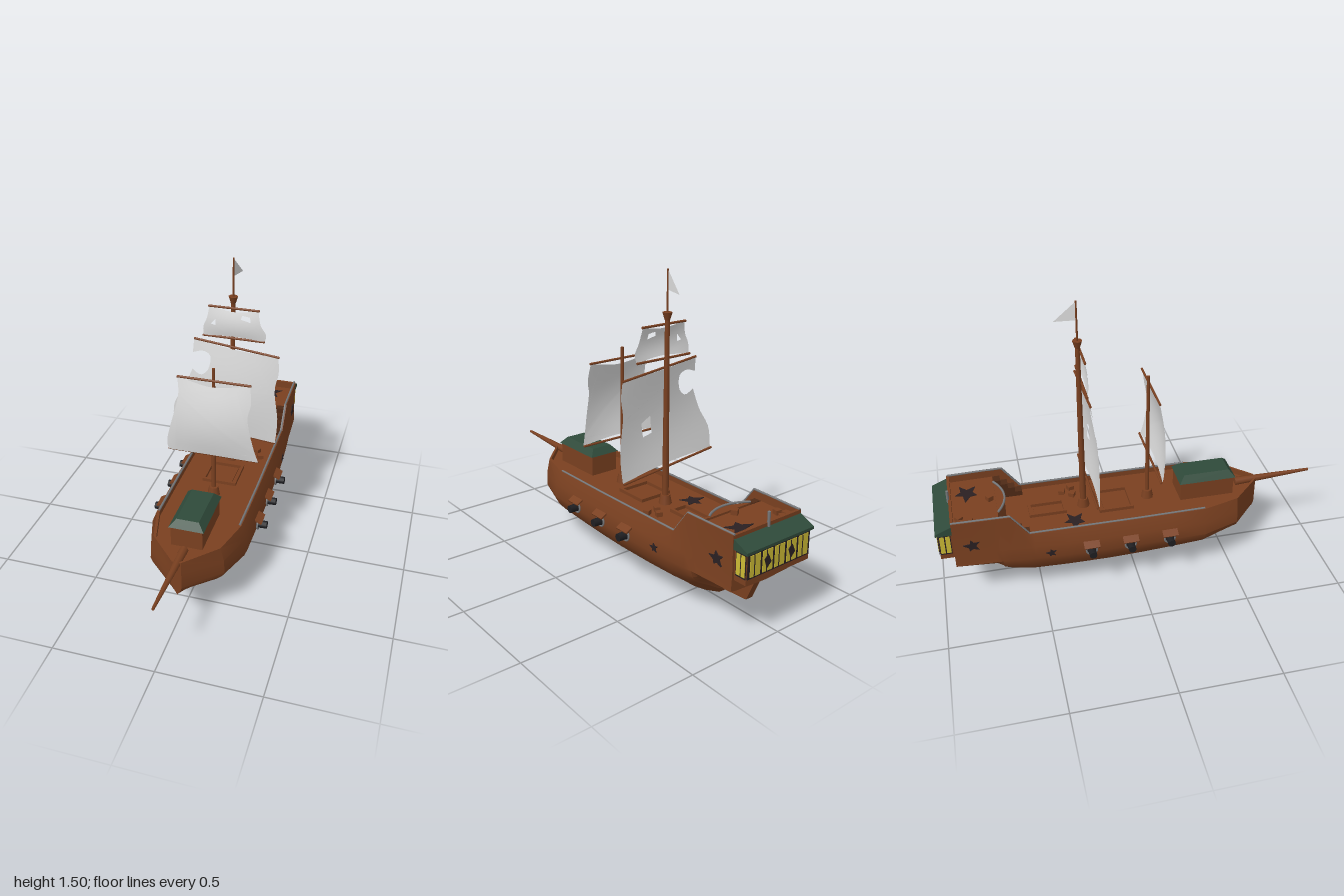
import * as THREE from 'three';
import { mergeVertices, toCreasedNormals } from 'three/addons/utils/BufferGeometryUtils.js';

const mat = (name, color, side = THREE.FrontSide) => {
  const m = new THREE.MeshStandardMaterial({ color, side });
  m.name = name;
  return m;
};
const V = (x, y, z) => new THREE.Vector3(x, y, z);

export function createModel() {
  const wood = mat('wood', 0x7a4020), darkWood = mat('dark wood', 0x4f2a16);
  const green = mat('roof green', 0x2f4a3a), cloth = mat('sailcloth', 0xdcdcdc, THREE.DoubleSide);
  const grey = mat('grey trim', 0x77787a), iron = mat('iron', 0x1e1e21);
  const charred = mat('charred', 0x2a2022), glass = mat('window yellow', 0xcdbb35);

  const root = new THREE.Group(), ship = new THREE.Group(), rigging = new THREE.Group();
  root.name = 'sailingShip'; ship.name = 'ship'; rigging.name = 'rigging';
  ship.position.x = 0.008;
  root.add(ship, rigging);

  const add = (name, geo, m, x = 0, y = 0, z = 0, parent = ship) => {
    const mesh = new THREE.Mesh(geo, m);
    mesh.name = name;
    mesh.position.set(x, y, z);
    parent.add(mesh);
    return mesh;
  };
  const box = (name, m, w, h, d, x, y, z) => add(name, new THREE.BoxGeometry(w, h, d), m, x, y, z);
  // Round pole between two points
  const rod = (name, m, a, b, r1, r2 = r1, parent = ship, sides = 8) => {
    const d = b.clone().sub(a);
    const mesh = add(name, new THREE.CylinderGeometry(r2, r1, d.length(), sides), m, 0, 0, 0, parent);
    mesh.position.copy(a).addScaledVector(d, 0.5);
    mesh.quaternion.setFromUnitVectors(V(0, 1, 0), d.normalize());
    return mesh;
  };

  // Hull: stations from bow to stern [z, keelY, half width, top half width, topY, deckY]
  const stations = [
    [0.69, 0.195, 0.022, 0.022, 0.39, 0.36], [0.54, 0.135, 0.185, 0.165, 0.39, 0.36],
    [0.35, 0.065, 0.247, 0.215, 0.39, 0.36], [0.18, 0.04, 0.249, 0.217, 0.39, 0.36],
    [0, 0.02, 0.25, 0.218, 0.39, 0.36], [-0.15, 0.01, 0.25, 0.218, 0.39, 0.36],
    [-0.36, 0.01, 0.247, 0.217, 0.39, 0.36], [-0.53, 0.01, 0.237, 0.215, 0.39, 0.36],
    [-0.55, 0.015, 0.236, 0.215, 0.39, 0.36], [-0.64, 0.045, 0.229, 0.215, 0.51, 0.36],
    [-0.685, 0.08, 0.225, 0.214, 0.51, 0.36], [-0.69, 0.1, 0.224, 0.214, 0.51, 0.47],
    [-0.72, 0.17, 0.222, 0.213, 0.51, 0.47], [-0.92, 0.235, 0.211, 0.209, 0.51, 0.47]];
  const ribs = [[0, 0], [0.26, 0.167], [0.52, 0.375], [0.8, 0.58], [0.94, 0.79], [1, 1]];
  const pos = [], idx = [];
  stations.forEach(([z, keel, half, top, topY, deckY]) => {
    const inner = Math.max(top - 0.014, 0.004);
    const side = ribs.map(([fx, fy]) => [fx * half, keel + fy * (0.25 - keel)]);
    side.push([half * 0.98, 0.32], [top, topY], [inner, topY], [inner, deckY], [0, deckY]);
    const mirror = side.slice(1, -1).reverse().map(([x, y]) => [-x, y]);
    [...side, ...mirror].forEach(([x, y]) => pos.push(x, y, z));
  });
  const n = pos.length / 3 / stations.length, last = (stations.length - 1) * n;
  for (let i = 0; i < stations.length - 1; i++)
    for (let j = 0; j < n; j++) {
      const a = i * n + j, b = i * n + (j + 1) % n;
      idx.push(a, a + n, b, b, a + n, b + n);
    }
  for (let j = 1; j < n - 1; j++) idx.push(0, j, j + 1, last, last + j + 1, last + j);
  const hull = new THREE.BufferGeometry();
  hull.setAttribute('position', new THREE.Float32BufferAttribute(pos, 3));
  hull.setIndex(idx);
  add('hull', toCreasedNormals(hull, 0.45), wood);

  // Rudder and bowsprit
  const polygon = pts => new THREE.Shape(pts.map(p => new THREE.Vector2(...p)));
  const rudder = new THREE.ExtrudeGeometry(
    polygon([[0.62, 0.085], [0.83, 0.1], [0.89, 0.24], [0.66, 0.22]]), { depth: 0.04, bevelEnabled: false });
  add('rudder', rudder.rotateY(Math.PI / 2), wood, -0.02);
  rod('bowsprit', wood, V(0, 0.375, 0.58), V(0, 0.388, 1), 0.022, 0.007);

  // Charred holes: jagged star plates
  const star = size => {
    const radii = [1, 0.45, 0.85, 0.4, 1.1, 0.5, 0.8, 0.45, 1, 0.4];
    return new THREE.ExtrudeGeometry(polygon(radii.map((r, i) =>
      [Math.cos(i * 0.628 + 0.5) * r * size, Math.sin(i * 0.628 + 0.5) * r * size])),
    { depth: 0.008, bevelEnabled: false });
  };
  for (const s of [1, -1]) {
    for (const [size, x, y, z] of [[0.042, 0.208, 0.37, -0.83], [0.027, 0.236, 0.275, -0.45]])
      add('hullDamage', star(size).rotateY(s * Math.PI / 2), charred, s * x, y, z);

    // Bulwark caps
    const line = [[0.215, 0.39, 0.35], [0.218, 0.39, 0], [0.215, 0.39, -0.55], [0.215, 0.51, -0.64], [0.209, 0.51, -0.92]];
    for (let i = 0; i < line.length - 1; i++) {
      const [a, b] = [line[i], line[i + 1]].map(([x, y, z]) => V(s * (x - 0.009), y + 0.001, z));
      rod('bulwarkCap', grey, a, b, 0.006, 0.006, ship, 6);
    }
    // Stairs to the raised deck
    for (let i = 0; i < 4; i++)
      box('stair', darkWood, 0.045, 0.028 * (i + 1), 0.036, s * 0.175, 0.36 + 0.014 * (i + 1), -0.562 - i * 0.036);

    // Guns with port rings and lids
    for (const z of [0.155, -0.05, -0.25]) {
      rod('gunPort', charred, V(s * 0.235, 0.265, z), V(s * 0.253, 0.265, z), 0.027, 0.027, ship, 16);
      const ring = add('portRing', new THREE.TorusGeometry(0.027, 0.005, 6, 20), grey, s * 0.253, 0.265, z);
      ring.rotation.y = Math.PI / 2;
      rod('gunBarrel', iron, V(s * 0.235, 0.265, z), V(s * 0.298, 0.265, z), 0.021, 0.019, ship, 12);
      box('portLid', wood, 0.05, 0.008, 0.08, s * 0.255, 0.306, z).rotation.z = -s * 0.5;
    }
  }
  add('deckDamage', star(0.07).rotateX(-Math.PI / 2), charred, 0.08, 0.465, -0.83);
  add('deckDamage', star(0.065).rotateX(-Math.PI / 2), charred, -0.12, 0.355, -0.31);

  // Raised deck with a curved front, its rail and the stern board
  const curve = new THREE.QuadraticBezierCurve(
    new THREE.Vector2(-0.13, -0.69), new THREE.Vector2(0, -0.6), new THREE.Vector2(0.13, -0.69));
  const front = new THREE.ExtrudeGeometry(new THREE.Shape(curve.getPoints(12)), { depth: 0.12, bevelEnabled: false });
  add('raisedDeckFront', front.rotateX(Math.PI / 2), wood, 0, 0.48, 0);
  const railPath = new THREE.CatmullRomCurve3(curve.getPoints(8).map(p => V(p.x, 0.487, p.y)));
  add('raisedDeckRail', new THREE.TubeGeometry(railPath, 20, 0.006, 6), grey);
  box('sternBoard', wood, 0.4, 0.045, 0.014, 0, 0.487, -0.915);
  rod('sternPost', grey, V(0, 0.47, -0.922), V(0, 0.56, -0.922), 0.007);

  // Stern gallery with windows and a sloping roof
  box('gallery', wood, 0.39, 0.15, 0.075, 0, 0.375, -0.95);
  const roof = new THREE.ExtrudeGeometry(
    polygon([[0.915, 0.445], [1, 0.445], [1, 0.458], [0.915, 0.495]]), { depth: 0.41, bevelEnabled: false });
  add('galleryRoof', roof.rotateY(Math.PI / 2), green, -0.205);
  box('windowFrame', charred, 0.38, 0.115, 0.005, 0, 0.385, -0.989);
  for (let i = -2; i <= 2; i++) {
    box('sternWindow', glass, 0.06, 0.1, 0.004, i * 0.074, 0.385, -0.992);
    box('windowBar', charred, 0.004, 0.1, 0.004, i * 0.074 + 0.006, 0.385, -0.994);
    if (i % 2) {
      const shard = new THREE.ExtrudeGeometry(polygon([[-0.02, -0.01], [0.005, -0.035], [0.022, 0.01], [0, 0.03]]),
        { depth: 0.003, bevelEnabled: false });
      add('brokenPane', shard, charred, i * 0.074, 0.385, -0.997);
    }
  }
  for (const s of [1, -1]) {
    box('sideFrame', charred, 0.005, 0.115, 0.058, s * 0.195, 0.385, -0.957);
    for (const z of [-0.943, -0.971]) box('sideWindow', glass, 0.004, 0.1, 0.022, s * 0.197, 0.385, z);
  }

  // Fore cabin with a bevelled roof
  box('foreCabin', wood, 0.155, 0.12, 0.285, 0, 0.41, 0.4);
  const capRoof = new THREE.CylinderGeometry(Math.SQRT1_2, Math.SQRT1_2, 1, 4).rotateY(Math.PI / 4).toNonIndexed();
  const cp = capRoof.attributes.position;
  for (let i = 0; i < cp.count; i++) {
    const up = cp.getY(i) > 0;
    cp.setXYZ(i, cp.getX(i) * (up ? 0.11 : 0.172), up ? 0.5 : 0.465, cp.getZ(i) * (up ? 0.24 : 0.3));
  }
  capRoof.computeVertexNormals();
  add('foreCabinRoof', capRoof, green, 0, 0, 0.4);

  // Framed hatches
  for (const [w, d, z] of [[0.1, 0.19, -0.435], [0.18, 0.18, -0.085]]) {
    for (const s of [1, -1]) {
      box('hatchFrame', wood, 0.014, 0.02, d, s * (w / 2 - 0.007), 0.367, z);
      box('hatchFrame', wood, w, 0.02, 0.014, 0, 0.367, z + s * (d / 2 - 0.007));
    }
    box('hatchCover', wood, w - 0.05, 0.008, d - 0.05, 0, 0.363, z);
  }
  // Loose crates
  const crates = [[-0.17, 0.48, -0.87], [-0.13, 0.48, -0.88], [-0.155, 0.48, -0.83], [0, 0.485, -0.72],
    [0.12, 0.37, -0.34], [0.15, 0.37, -0.29], [0.09, 0.37, -0.29]];
  crates.forEach(([x, y, z], i) => { box('crate', wood, 0.03, 0.024, 0.03, x, y, z).rotation.y = i * 0.7; });

  // Masts, lookout and pennant
  for (const [z, top, r] of [[-0.245, 1.3, 0.017], [0.095, 1.08, 0.012]]) {
    rod('mast', wood, V(0, 0.35, z), V(0, top, z), r, r * 0.65);
    rod('mastFoot', wood, V(0, 0.355, z), V(0, 0.405, z), 0.034, 0.024);
  }
  rod('lookout', wood, V(0, 1.27, -0.245), V(0, 1.308, -0.245), 0.012, 0.024);
  rod('flagpole', wood, V(0, 1.3, -0.245), V(0, 1.505, -0.245), 0.005, 0.004);
  const pennant = new THREE.ShapeGeometry(polygon([[0, 1.41], [0.103, 1.403], [0, 1.5]]));
  add('pennant', pennant.rotateY(Math.PI / 2 - 0.2), cloth, 0, 0, -0.248);

  // Sails: outline of smooth edges, split finely, then bellied forward
  const sail = (name, start, edges, holes, z0, depth, yards) => {
    const shape = new THREE.Shape();
    shape.moveTo(...start);
    edges.forEach(e => shape.splineThru(e.map(p => new THREE.Vector2(...p))));
    shape.holes = holes.map(polygon);
    let flat = new THREE.ShapeGeometry(shape, 3).toNonIndexed();
    let tri = Array.from(flat.attributes.position.array);
    for (let level = 0; level < 3; level++) {
      const out = [];
      for (let i = 0; i < tri.length; i += 9) {
        const c = [0, 3, 6].map(k => tri.slice(i + k, i + k + 3));
        const m = c.map((p, k) => p.map((v, q) => (v + c[(k + 1) % 3][q]) / 2));
        out.push(...[c[0], m[0], m[2], m[0], c[1], m[1], m[2], m[1], c[2], ...m].flat());
      }
      tri = out;
    }
    let geo = new THREE.BufferGeometry();
    geo.setAttribute('position', new THREE.Float32BufferAttribute(tri, 3));
    geo = mergeVertices(geo, 1e-5);
    geo.computeBoundingBox();
    const { min, max } = geo.boundingBox, p = geo.attributes.position;
    for (let i = 0; i < p.count; i++) {
      const v = (p.getY(i) - min.y) / (max.y - min.y);
      const u = 2 * (p.getX(i) - min.x) / (max.x - min.x) - 1;
      p.setZ(i, z0 + depth * Math.sin(Math.PI * (0.12 + 0.88 * v)) * (1 - 0.6 * u * u));
    }
    geo.computeVertexNormals();
    add(name, geo, cloth, 0, 0, 0, rigging);
    yards.forEach(([a, b]) => rod('yard', wood, V(...a, z0), V(...b, z0), 0.006, 0.006, rigging));
  };
  sail('foreSail', [-0.22, 0.605],
    [[[0.01, 0.615], [0.24, 0.605]], [[0.215, 0.7], [0.187, 0.85], [0.2, 0.93], [0.19, 1.02]],
      [[0.01, 0.99], [-0.17, 1.02]], [[-0.16, 0.94], [-0.177, 0.85], [-0.225, 0.67], [-0.22, 0.605]]],
    [], 0.108, 0.045, [[[-0.17, 1.02], [0.195, 1.02]], [[-0.225, 0.605], [0.24, 0.605]]]);
  sail('mainSail', [-0.31, 0.57],
    [[[-0.03, 0.55], [0.25, 0.515]], [[0.26, 0.66], [0.24, 0.83], [0.256, 0.93], [0.25, 1.017]],
      [[0.03, 1.03], [-0.19, 1.062]], [[-0.195, 0.99]],
      [[-0.14, 1.005], [-0.1, 0.98], [-0.11, 0.91], [-0.15, 0.875], [-0.195, 0.9]],
      [[-0.215, 0.85], [-0.245, 0.78], [-0.3, 0.68], [-0.31, 0.57]]],
    [[[0.055, 0.72], [0.11, 0.71], [0.12, 0.78], [0.065, 0.81]]],
    -0.226, 0.035, [[[-0.19, 1.065], [0.255, 1.015]], [[-0.31, 0.572], [0.25, 0.512]]]);
  sail('topSail', [-0.14, 1.09],
    [[[0.02, 1.102], [0.175, 1.09]], [[0.183, 1.13], [0.155, 1.18], [0.14, 1.25]],
      [[0.02, 1.232], [-0.11, 1.25]], [[-0.12, 1.19], [-0.14, 1.14], [-0.14, 1.09]]],
    [[[-0.1, 1.16], [-0.075, 1.155], [-0.075, 1.19]], [[0.055, 1.2], [0.105, 1.188], [0.1, 1.215], [0.06, 1.22]]],
    -0.232, 0.018, [[[-0.115, 1.25], [0.145, 1.25]], [[-0.145, 1.088], [0.175, 1.088]]]);
  return root;
}
